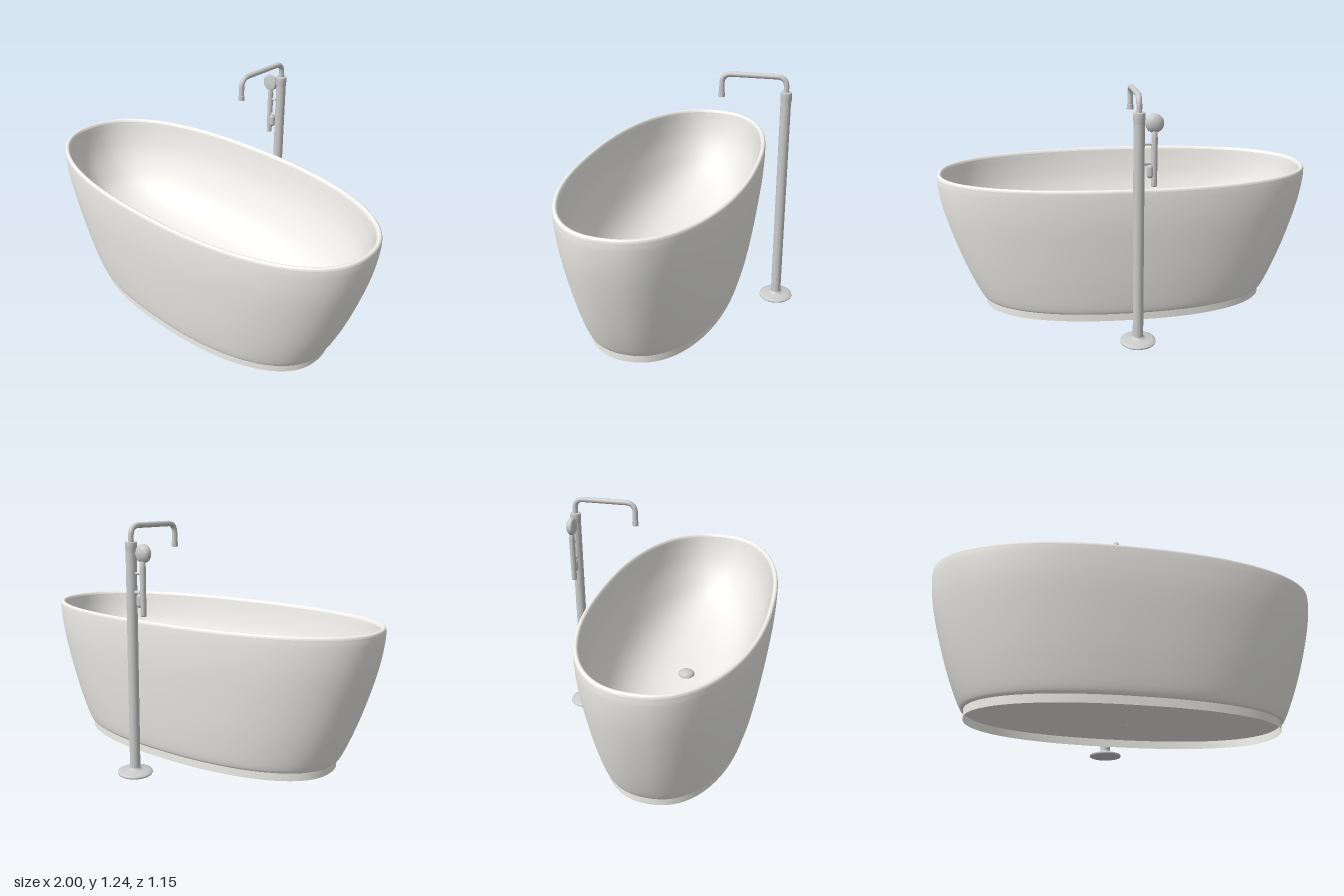
import * as THREE from 'three';

const metal = new THREE.MeshStandardMaterial({ color: 0xcccccc });
const enamel = new THREE.MeshStandardMaterial({ color: 0xf1f0ec });
const thinEnamel = new THREE.MeshStandardMaterial({ color: 0xf1f0ec, side: THREE.DoubleSide });
const TUB_Z = 0.107, POLE_Z = -0.486;

// Loft of rounded-oval rings; each profile point is [half length, half depth, height]
function ovalLoft(profile, steps, sides = 96) {
  const curve = new THREE.CatmullRomCurve3(profile.map(p => new THREE.Vector3(...p)), false, 'centripetal');
  const rings = curve.getPoints(steps);
  const positions = [], index = [];
  const round = v => Math.sign(v) * Math.abs(v) ** (2 / 2.28);
  rings.forEach((r, i) => {
    for (let j = 0; j < sides; j++) {
      const t = (j / sides) * Math.PI * 2;
      positions.push(r.x * round(Math.cos(t)), r.z, r.y * round(Math.sin(t)));
      if (i === rings.length - 1) continue;
      const a = i * sides + j, b = i * sides + (j + 1) % sides;
      index.push(a, a + sides, b, b, a + sides, b + sides);
    }
  });
  const geometry = new THREE.BufferGeometry();
  geometry.setAttribute('position', new THREE.Float32BufferAttribute(positions, 3));
  geometry.setIndex(index);
  geometry.computeVertexNormals();
  return geometry;
}

function add(parent, name, geometry, x = 0, y = 0, z = 0, material = metal) {
  const mesh = new THREE.Mesh(geometry, material);
  mesh.name = name;
  mesh.position.set(x, y, z);
  parent.add(mesh);
  return mesh;
}

// Upright rod, or one lying along x
function rod(parent, name, radius, length, x, y, z, sideways = false) {
  const mesh = add(parent, name, new THREE.CylinderGeometry(radius, radius, length, 32), x, y, z);
  if (sideways) mesh.rotation.z = Math.PI / 2;
}

function lathe(points, sides = 48) {
  return new THREE.LatheGeometry(points.map(p => new THREE.Vector2(...p)), sides);
}

function createTub() {
  const tub = new THREE.Group();
  tub.name = 'bathtub';
  tub.position.z = TUB_Z;
  const shell = (name, profile, steps, material = enamel) =>
    add(tub, name, ovalLoft(profile, steps), 0, 0, 0, material);
  // Thin skirt the body stands on
  shell('plinth', [[0.781, 0.367, 0], [0.782, 0.368, 0.05]], 1, thinEnamel);
  // Belly rounding softly into the wall
  shell('body', [
    [0.001, 0.001, 0.018], [0.4, 0.18, 0.02], [0.65, 0.3, 0.03], [0.76, 0.355, 0.038],
    [0.79, 0.374, 0.044], [0.803, 0.383, 0.06], [0.866, 0.412, 0.2], [0.935, 0.442, 0.4],
    [0.982, 0.463, 0.58], [0.999, 0.469, 0.7], [0.999, 0.469, 0.735]], 90);
  shell('rim', [
    [0.999, 0.469, 0.735], [0.996, 0.466, 0.745], [0.987, 0.457, 0.75],
    [0.978, 0.448, 0.746], [0.972, 0.442, 0.735]], 12);
  // Bowl-shaped inside
  shell('basin', [
    [0.972, 0.442, 0.735], [0.96, 0.432, 0.66], [0.935, 0.413, 0.57], [0.89, 0.38, 0.48],
    [0.82, 0.335, 0.39], [0.72, 0.285, 0.325], [0.55, 0.21, 0.27], [0.3, 0.11, 0.238], [0.001, 0.001, 0.228]], 48);
  add(tub, 'drainPlug', lathe([
    [0.046, 0], [0.046, 0.01], [0.038, 0.02], [0.022, 0.027], [0, 0.03]]), 0.05, 0.228, 0);
  return tub;
}

function createFiller() {
  const filler = new THREE.Group();
  filler.name = 'floorStandingTap';
  filler.position.z = POLE_Z;
  add(filler, 'floorFlange', lathe([
    [0, 0], [0.085, 0], [0.088, 0.004], [0.087, 0.011], [0.07, 0.017], [0.04, 0.021], [0.029, 0.026], [0.026, 0.034]]));
  rod(filler, 'column', 0.026, 1.11, 0, 0.575, 0);
  add(filler, 'columnCap', lathe([
    [0.026, 1.1], [0.028, 1.125], [0.029, 1.147], [0.026, 1.152], [0, 1.152]]));

  // Spout with two rounded bends
  const v = (y, z) => new THREE.Vector3(0, y, z);
  const path = new THREE.CurvePath();
  path.add(new THREE.LineCurve3(v(1.14, 0), v(1.175, 0)));
  path.add(new THREE.QuadraticBezierCurve3(v(1.175, 0), v(1.226, 0), v(1.226, 0.05)));
  path.add(new THREE.LineCurve3(v(1.226, 0.05), v(1.226, 0.275)));
  path.add(new THREE.QuadraticBezierCurve3(v(1.226, 0.275), v(1.226, 0.325), v(1.175, 0.325)));
  path.add(new THREE.LineCurve3(v(1.175, 0.325), v(1.12, 0.325)));
  add(filler, 'spout', new THREE.TubeGeometry(path, 80, 0.0135, 20));
  rod(filler, 'spoutTip', 0.0165, 0.024, 0, 1.121, 0.325);
  return filler;
}

function createHandShower() {
  const shower = new THREE.Group();
  shower.name = 'handShower';
  shower.position.z = POLE_Z;
  const x = -0.071;
  add(shower, 'handle', lathe([
    [0, 0.805], [0.013, 0.805], [0.014, 0.81], [0.015, 1.03], [0.012, 1.07], [0, 1.075]], 24), x, 0, 0);
  const head = add(shower, 'showerHead', lathe([
    [0, -0.018], [0.038, -0.018], [0.043, -0.012], [0.043, 0.002], [0.033, 0.014], [0.015, 0.02], [0, 0.021]]), x, 1.1, 0);
  head.rotation.x = -Math.PI / 2;
  // Holder and brackets joining the shower to the column
  add(shower, 'holder', new THREE.CapsuleGeometry(0.017, 0.035, 6, 24), -0.052, 0.878, 0);
  rod(shower, 'holderArm', 0.01, 0.04, -0.036, 0.915, 0, true);
  rod(shower, 'upperArm', 0.006, 0.05, -0.042, 1.005, 0, true);
  return shower;
}

export function createModel() {
  const model = new THREE.Group();
  model.name = 'bathtubWithTap';
  model.add(createTub(), createFiller(), createHandShower());
  return model;
}
